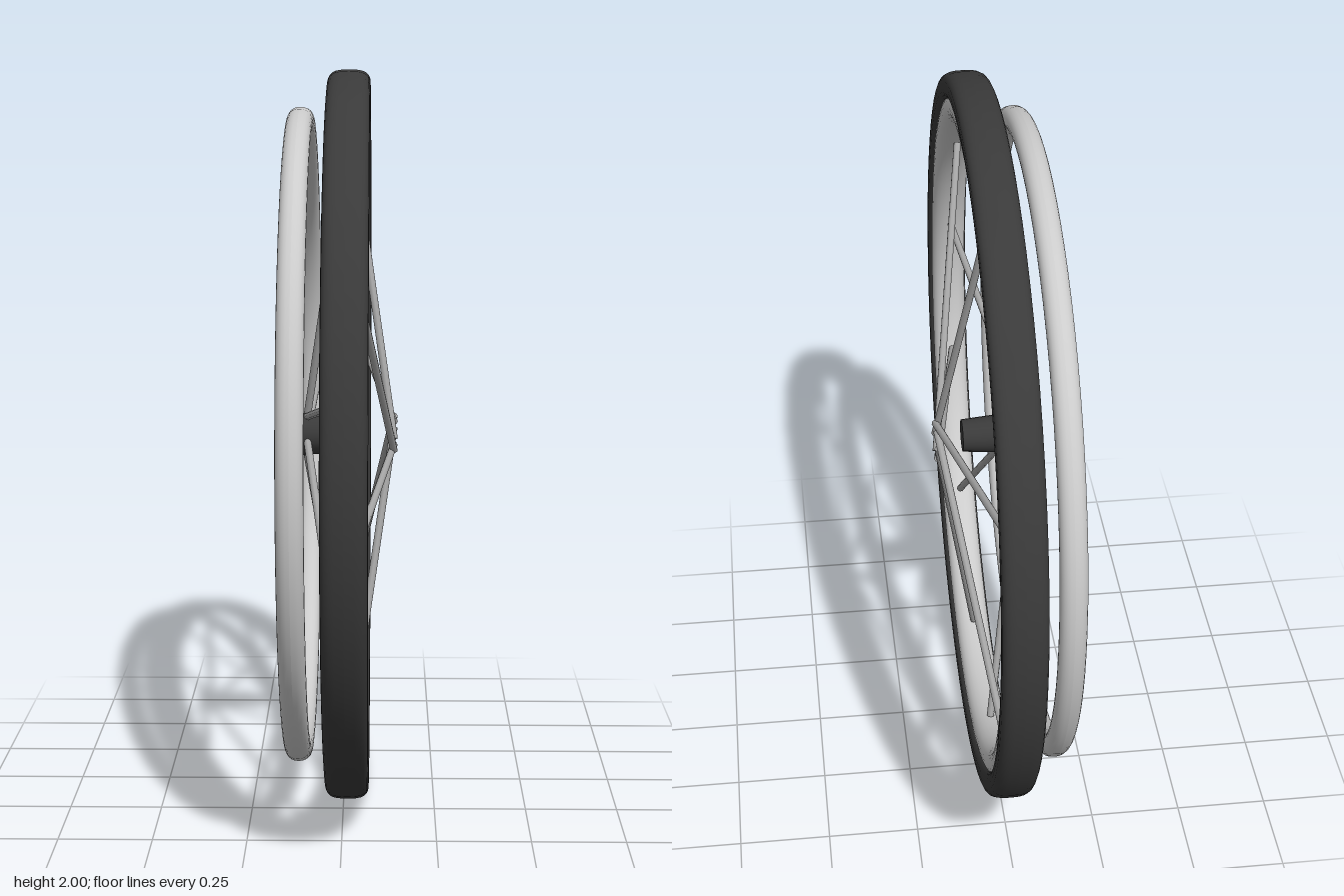
import * as THREE from 'three';

const rubber = new THREE.MeshStandardMaterial({ color: 0x3a3a3a });
const metal = new THREE.MeshStandardMaterial({ color: 0xcccccc });
const steel = new THREE.MeshStandardMaterial({ color: 0xa6a6a6 });

const MID = 0.012; // x of the wheel's middle plane

// Ring around the x axis with a rounded (superelliptic) cross-section.
function ring(name, material, x, radius, halfRadial, halfWidth, power) {
  const soft = (v) => Math.sign(v) * Math.abs(v) ** power;
  const profile = [];
  for (let i = 0; i <= 24; i++) {
    const a = ((i % 24) / 24) * Math.PI * 2;
    profile.push(new THREE.Vector2(radius + halfRadial * soft(Math.cos(a)), halfWidth * soft(Math.sin(a))));
  }
  const mesh = new THREE.Mesh(new THREE.LatheGeometry(profile, 72), material);
  mesh.name = name;
  mesh.rotation.z = -Math.PI / 2;
  mesh.position.set(x, 1, 0);
  return mesh;
}

// Thin rod between two points.
function rod(name, from, to, radius) {
  const dir = to.clone().sub(from);
  const mesh = new THREE.Mesh(new THREE.CylinderGeometry(radius, radius, dir.length(), 8), steel);
  mesh.name = name;
  mesh.position.copy(from).add(to).multiplyScalar(0.5);
  mesh.quaternion.setFromUnitVectors(new THREE.Vector3(0, 1, 0), dir.normalize());
  return mesh;
}

export function createModel() {
  const wheel = new THREE.Group();
  wheel.name = 'wheel';

  // Tyre, rim inside it, and the push ring on the right side
  wheel.add(ring('tyre', rubber, MID, 0.96, 0.04, 0.058, 0.65));
  wheel.add(ring('rim', metal, MID, 0.905, 0.042, 0.05, 0.9));
  wheel.add(ring('pushRing', metal, -0.12, 0.866, 0.034, 0.035, 0.9));

  // Tapered hub, wide end towards the push ring
  const hub = new THREE.Mesh(new THREE.CylinderGeometry(0.045, 0.06, 0.19, 20), rubber);
  hub.name = 'hub';
  hub.rotation.z = -Math.PI / 2;
  hub.position.set(-0.03, 1, 0);
  wheel.add(hub);

  // Twelve spokes, alternating sides and leaning tangentially past the axle
  const spokes = new THREE.Group();
  spokes.name = 'spokes';
  spokes.position.set(MID, 1, -0.018);
  for (let i = 0; i < 12; i++) {
    const side = i % 2 ? 1 : -1;
    const a = ((15 + 30 * i) * Math.PI) / 180;
    const at = (x, along, across) => new THREE.Vector3(
      x,
      along * Math.cos(a) - across * Math.sin(a),
      along * Math.sin(a) + across * Math.cos(a)
    );
    spokes.add(rod('spoke', at(0, 0.855, 0), at(side * 0.125, -0.02, side * 0.045), 0.0105));
  }
  wheel.add(spokes);

  return wheel;
}
